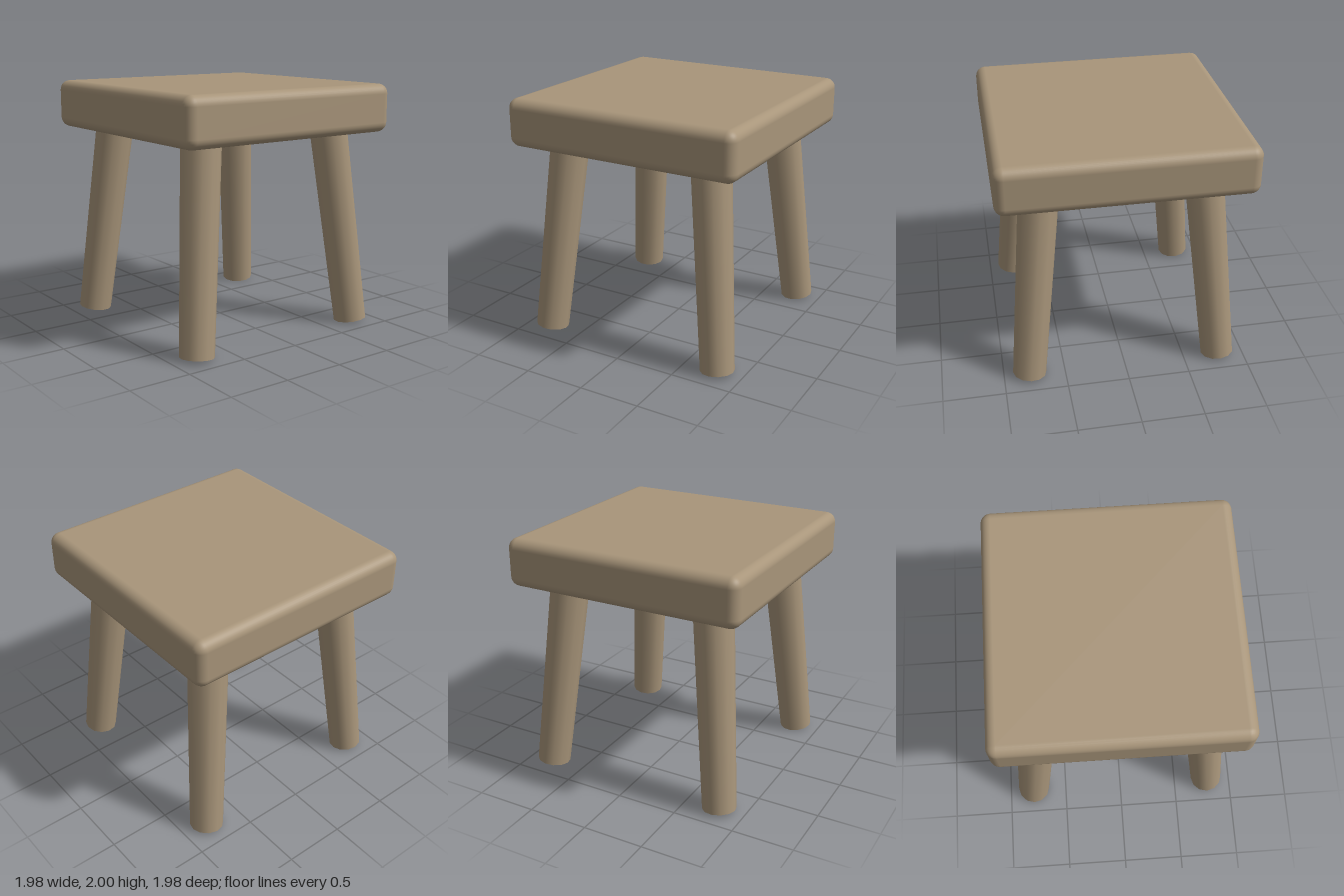
import * as THREE from 'three';
import { RoundedBoxGeometry } from 'three/addons/geometries/RoundedBoxGeometry.js';

export function createModel() {
  const stool = new THREE.Group();
  stool.name = 'stool';
  const wood = new THREE.MeshStandardMaterial({ color: 0xa8957a });

  // Thick square seat with rounded edges
  const seat = new THREE.Mesh(new RoundedBoxGeometry(1.98, 0.39, 1.98, 4, 0.08), wood);
  seat.name = 'seat';
  seat.position.y = 1.805;
  stool.add(seat);

  // Four splayed legs, tapering towards the floor and cut square to their axis
  const up = new THREE.Vector3(0, 1, 0);
  for (const [sx, sz, name] of [
    [1, 1, 'frontLeftLeg'], [-1, 1, 'frontRightLeg'],
    [1, -1, 'backLeftLeg'], [-1, -1, 'backRightLeg'],
  ]) {
    const foot = new THREE.Vector3(0.79 * sx, 0.018, 0.79 * sz);
    const top = new THREE.Vector3(0.63 * sx, 1.7, 0.63 * sz);
    const axis = top.clone().sub(foot);
    const leg = new THREE.Mesh(new THREE.CylinderGeometry(0.157, 0.136, axis.length(), 12), wood);
    leg.name = name;
    leg.position.copy(foot).add(top).multiplyScalar(0.5);
    leg.quaternion.setFromUnitVectors(up, axis.normalize());
    stool.add(leg);
  }
  return stool;
}
